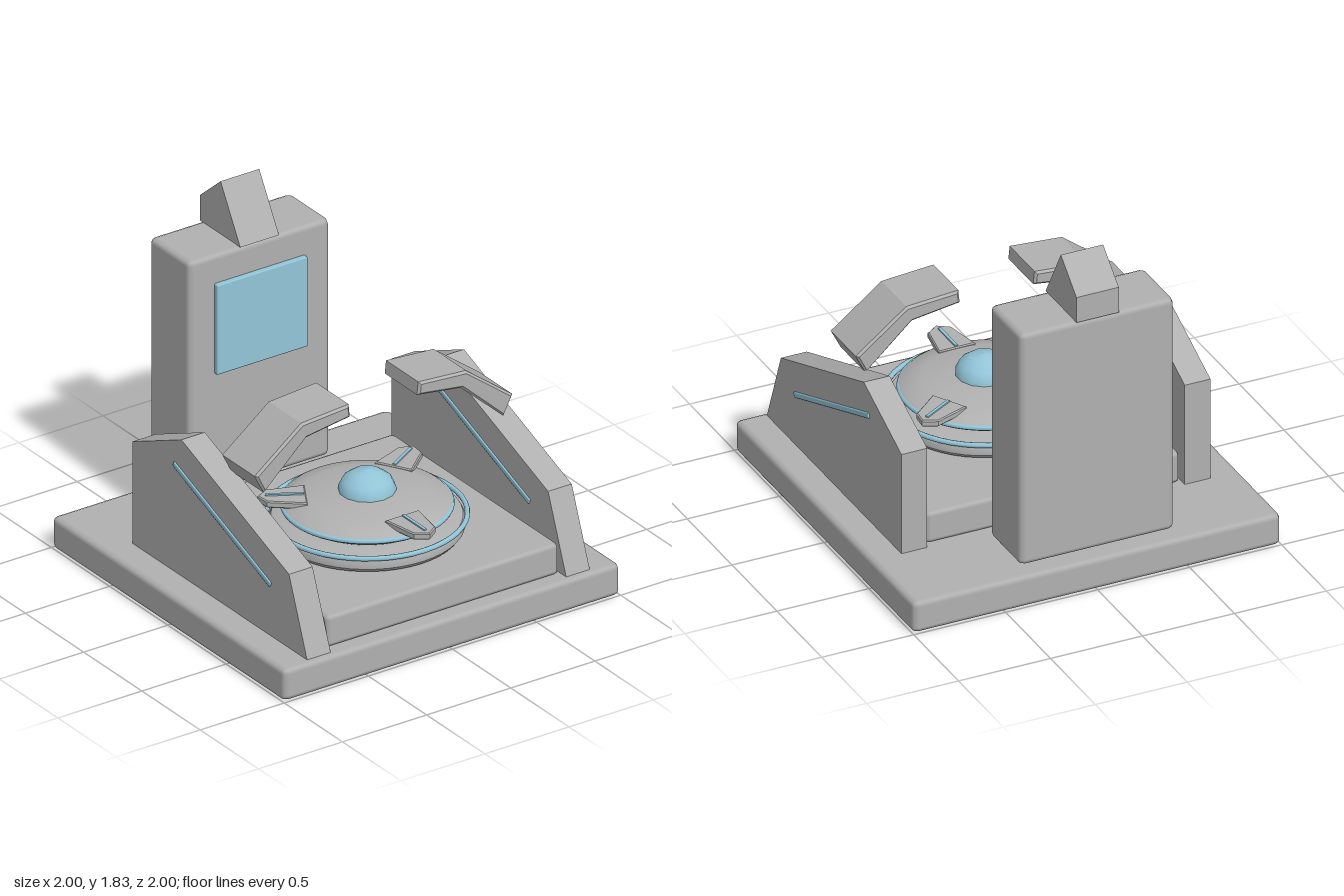
import * as THREE from 'three';
import { RoundedBoxGeometry } from 'three/addons/geometries/RoundedBoxGeometry.js';
import { toCreasedNormals } from 'three/addons/utils/BufferGeometryUtils.js';

const grey = new THREE.MeshStandardMaterial({ name: 'grey metal', color: 0xb0b0b0 });
const blue = new THREE.MeshStandardMaterial({ name: 'pale blue', color: 0x92c5d8 });

function add(parent, name, geometry, material, x = 0, y = 0, z = 0) {
  const mesh = new THREE.Mesh(geometry, material);
  mesh.name = name;
  mesh.position.set(x, y, z);
  parent.add(mesh);
  return mesh;
}

// Bevelled block given by its lower and upper corners
function block(parent, name, material, lo, hi, bevel) {
  const size = hi.map((v, i) => v - lo[i]);
  const mid = hi.map((v, i) => (v + lo[i]) / 2);
  return add(parent, name, new RoundedBoxGeometry(...size, 1, bevel), material, ...mid);
}

// Outline extruded symmetrically about its own plane
function slab(points, depth, bevel = 0) {
  const shape = new THREE.Shape(points.map(([x, y]) => new THREE.Vector2(x, y)));
  const geometry = new THREE.ExtrudeGeometry(shape, {
    depth: depth - 2 * bevel, bevelEnabled: bevel > 0, bevelSize: bevel,
    bevelThickness: bevel, bevelOffset: -bevel, bevelSegments: 1,
  });
  return geometry.translate(0, 0, bevel - depth / 2);
}

// Outline in (z, y), extruded along x
const sideSlab = (points, depth) => slab(points, depth).rotateY(-Math.PI / 2);

function lathe(points, sides) {
  const profile = points.map(([r, y]) => new THREE.Vector2(r, y));
  return toCreasedNormals(new THREE.LatheGeometry(profile, sides), 0.6);
}

export function createModel() {
  const model = new THREE.Group();
  model.name = 'consoleStation';

  // Floor and rear tower
  block(model, 'base', grey, [-1, 0, -1], [1, 0.175, 1], 0.03);
  block(model, 'platform', grey, [-0.69, 0.172, -0.505], [0.69, 0.345, 0.92], 0.025);
  block(model, 'tower', grey, [-0.42, 0.235, -1], [0.42, 1.54, -0.655], 0.03);
  block(model, 'screen', blue, [-0.27, 0.89, -0.67], [0.27, 1.385, -0.628], 0.008);
  add(model, 'towerCap', sideSlab([[-0.655, 1.538], [-0.825, 1.83], [-1, 1.68], [-1, 1.538]], 0.23), grey);

  // Side walls with light strips, and bent arms above them
  const wall = [[0.965, 0.175], [0.81, 0.58], [-0.115, 0.925], [-0.535, 0.735], [-0.535, 0.175]];
  const arm = [[0.766, 0.925], [0.712, 0.82], [0.46, 1.05], [0.2, 1.087], [0.207, 1.157], [0.49, 1.136]];
  for (const [side, label] of [[1, 'left'], [-1, 'right']]) {
    add(model, label + 'Wall', sideSlab(wall, 0.14), grey, side * 0.77);
    const strip = add(model, label + 'WallStrip', new RoundedBoxGeometry(0.156, 0.03, 0.89, 1, 0.006),
      blue, side * 0.77, 0.612, 0.238);
    strip.rotation.x = Math.atan2(0.315, 0.835);
    add(model, label + 'Arm', slab(arm.map(([x, y]) => [side * x, y]), 0.3, 0.012), grey, 0, 0, 0.268);
  }

  // Round pedestal with two light rings
  const disc = new THREE.Group();
  disc.name = 'pedestal';
  disc.position.z = 0.267;
  model.add(disc);
  add(disc, 'pedestalFoot', lathe([[0, 0.342], [0.43, 0.342], [0.465, 0.355], [0.48, 0.375], [0.48, 0.415],
    [0.47, 0.432], [0.43, 0.445], [0, 0.445]], 48), grey);
  add(disc, 'saucer', lathe([[0.34, 0.44], [0.37, 0.452], [0.415, 0.478], [0.425, 0.5], [0.405, 0.518],
    [0.31, 0.545], [0.14, 0.568], [0, 0.57]], 48), grey);
  for (const [name, radius, y] of [['lowerRing', 0.491, 0.44], ['upperRing', 0.415, 0.495]]) {
    add(disc, name, new THREE.TorusGeometry(radius, 0.0135, 8, 48).rotateX(Math.PI / 2), blue, 0, y);
  }
  add(disc, 'dome', new THREE.LatheGeometry([[0.143, 0.555], [0.143, 0.585], [0.122, 0.628], [0.07, 0.665],
    [0, 0.677]].map(([r, y]) => new THREE.Vector2(r, y)), 14), blue);

  // Three radial clamps, each with a narrow strip
  const clamp = [[-0.1, 0.3], [0.1, 0.3], [0.065, 0.495], [0, 0.54], [-0.065, 0.495]];
  for (let i = 0; i < 3; i++) {
    const group = new THREE.Group();
    group.name = 'clamp' + (i + 1);
    group.rotation.y = i * Math.PI * 2 / 3;
    disc.add(group);
    add(group, 'clampBody', slab(clamp, 0.036, 0.006).rotateX(Math.PI / 2), grey, 0, 0.536);
    add(group, 'clampStrip', new THREE.BoxGeometry(0.016, 0.009, 0.19), blue, 0, 0.557, 0.405);
  }
  return model;
}
